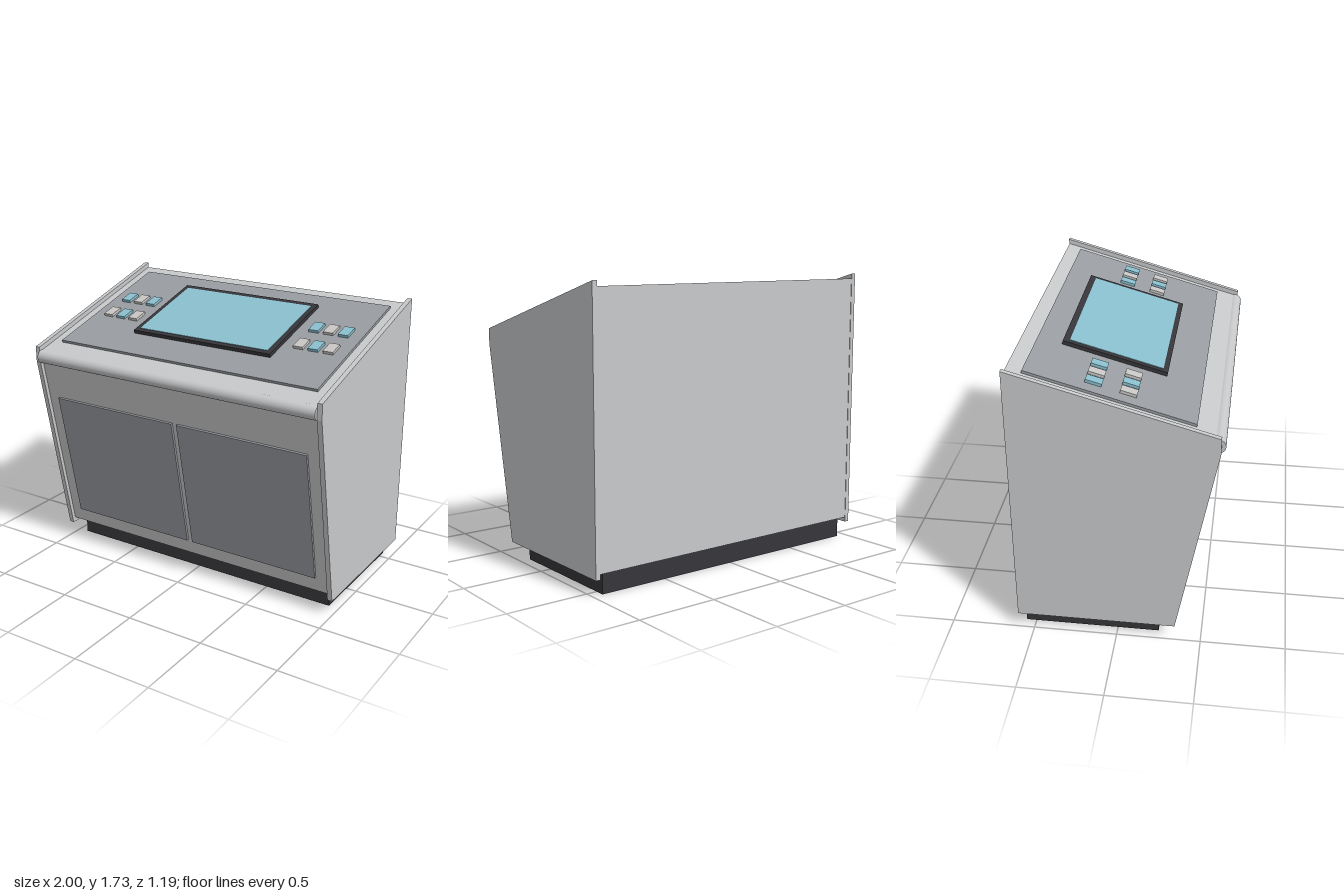
import * as THREE from 'three';

const mat = (name, color) => new THREE.MeshStandardMaterial({ name, color });

export function createModel() {
  const root = new THREE.Group();
  root.name = 'controlConsole';
  const shell = mat('light grey shell', 0xc8c9cb);
  const panelGrey = mat('mid grey panel', 0x999ca1);
  const dark = mat('charcoal', 0x36353a);
  const blue = mat('pale blue', 0x8abfce);
  const keyGrey = mat('key grey', 0xc8c7c5);

  const add = (parent, name, geometry, material, x = 0, y = 0, z = 0) => {
    const mesh = new THREE.Mesh(geometry, material);
    mesh.name = name;
    mesh.position.set(x, y, z);
    parent.add(mesh);
    return mesh;
  };

  // Slab with a side profile of [z, y] points, extruded across x
  const slab = (points, width) => {
    const shape = new THREE.Shape(points.map(p => new THREE.Vector2(p[0], p[1])));
    return new THREE.ExtrudeGeometry(shape, { depth: width, bevelEnabled: false })
      .translate(0, 0, -width / 2)
      .rotateY(-Math.PI / 2);
  };

  // Cabinet body, inset between the two side panels
  add(root, 'cabinetBody', slab(
    [[0.325, 0.13], [0.545, 1.31], [0.545, 1.382], [-0.592, 1.699], [-0.592, 0.13]], 1.94), shell);
  const sideGeometry = slab(
    [[0.345, 0.1], [0.57, 1.31], [0.57, 1.405], [-0.595, 1.73], [-0.595, 0.1]], 0.03);
  for (const s of [-1, 1]) {
    add(root, s > 0 ? 'leftSidePanel' : 'rightSidePanel', sideGeometry, shell, s * 0.985);
  }

  // Recessed plinth
  add(root, 'plinth', new THREE.BoxGeometry(1.87, 0.13, 0.805), dark, 0, 0.065, -0.157);

  // Rounded front rail
  add(root, 'frontRail', new THREE.CylinderGeometry(0.042, 0.042, 1.938, 32).rotateZ(Math.PI / 2),
    shell, 0, 1.343, 0.552);

  // Two doors lying on the sloping front
  for (const s of [-1, 1]) {
    const door = add(root, s > 0 ? 'leftDoor' : 'rightDoor',
      new THREE.BoxGeometry(0.87, 0.854, 0.03), panelGrey, s * 0.453, 0.65, 0.422);
    door.rotation.x = 0.184;
  }

  // Sloping control deck; its local y = 0 is level with the side panel tops
  const deck = new THREE.Group();
  deck.name = 'controlDeck';
  deck.position.set(0, 1.564, 0);
  deck.rotation.x = Math.atan2(0.325, 1.165);
  root.add(deck);
  const plate = (name, material, x, width, z0, z1, bottom, top) => add(deck, name,
    new THREE.BoxGeometry(width, top - bottom, z1 - z0), material, x, (top + bottom) / 2, (z0 + z1) / 2);

  plate('controlPanel', panelGrey, 0, 1.8, -0.52, 0.455, -0.034, -0.013);
  plate('screenFrame', dark, 0, 0.97, -0.379, 0.24, -0.015, 0.01);
  plate('screen', blue, 0, 0.91, -0.343, 0.21, 0.008, 0.013);

  // Two clusters of six keys, colours alternating like a chequerboard
  for (const s of [-1, 1]) {
    for (let row = 0; row < 2; row++) {
      for (let col = 0; col < 3; col++) {
        const z = -0.188 + row * 0.198;
        plate('key', (row + col) % 2 ? keyGrey : blue, s * (0.595 + col * 0.097), 0.064,
          z, z + 0.095, -0.015, 0.004);
      }
    }
  }
  return root;
}
